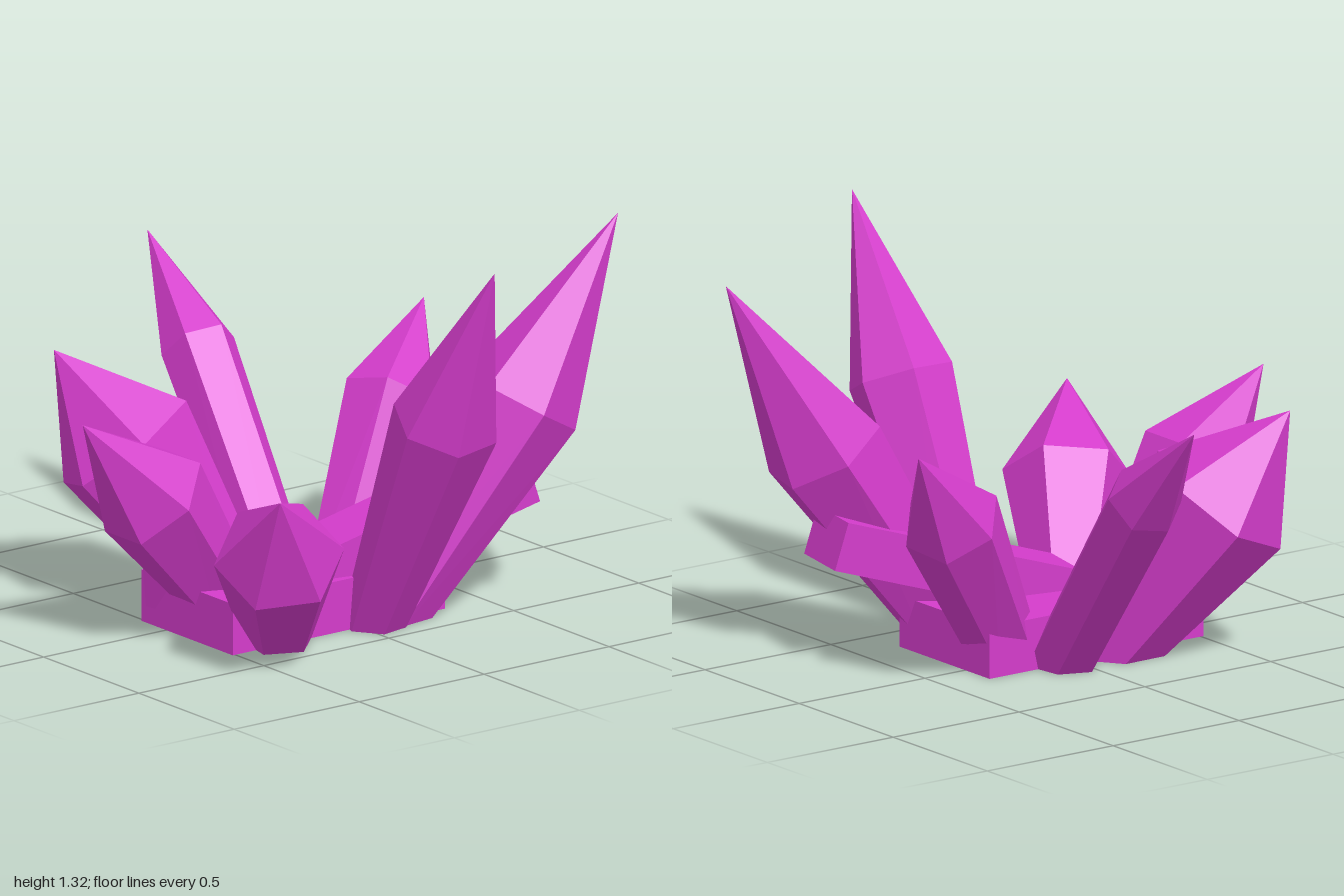
import * as THREE from 'three';

const material = new THREE.MeshStandardMaterial({ color: 0xd43ccb, flatShading: true });
const SIDES = 6;

// Six points around a centre, perpendicular to the axis
function ring(center, axis, radius, phase) {
  const u = new THREE.Vector3(1, 0, 0).addScaledVector(axis, -axis.x).normalize();
  const v = u.clone().cross(axis);
  return Array.from({ length: SIDES }, (_, i) => {
    const a = THREE.MathUtils.degToRad(phase) + (i / SIDES) * Math.PI * 2;
    return center.clone()
      .addScaledVector(u, radius * Math.cos(a))
      .addScaledVector(v, radius * Math.sin(a));
  });
}

// Tapered hexagonal shaft, cut flat at the ground, ending in a point
function crystal({ name, foot, shoulder, tip, r0, r1, phase }) {
  const base = new THREE.Vector3(...foot);
  const mid = new THREE.Vector3(...shoulder);
  const apex = new THREE.Vector3(...tip);
  const top = ring(mid, apex.clone().sub(mid).normalize(), r1, phase);
  const low = ring(base, mid.clone().sub(base).normalize(), r0, phase);
  // Slide each lower corner along its edge to y = 0
  const bottom = low.map((p, i) => top[i].clone().lerp(p, top[i].y / (top[i].y - p.y)));

  const points = [];
  for (let i = 0; i < SIDES; i++) {
    const j = (i + 1) % SIDES;
    points.push(
      bottom[i], top[i], bottom[j],
      top[i], top[j], bottom[j],
      top[i], apex, top[j],
      base, bottom[i], bottom[j]);
  }
  const geometry = new THREE.BufferGeometry().setFromPoints(points);
  geometry.computeVertexNormals();
  const mesh = new THREE.Mesh(geometry, material);
  mesh.name = name;
  return mesh;
}

function block(name, size, position, rotation = [0, 0, 0]) {
  const mesh = new THREE.Mesh(new THREE.BoxGeometry(...size), material);
  mesh.name = name;
  mesh.position.set(...position);
  mesh.rotation.set(...rotation, 'YZX');
  return mesh;
}

const crystals = [
  { name: 'frontCrystal', foot: [0.05, 0, 0.35], shoulder: [0.05, 0.76, 0.73], tip: [0.05, 1.32, 0.99], r0: 0.1, r1: 0.175, phase: -10 },
  { name: 'frontLeftCrystal', foot: [0.14, 0, 0.32], shoulder: [0.57, 0.67, 0.44], tip: [0.91, 1.25, 0.51], r0: 0.11, r1: 0.2, phase: -13 },
  { name: 'backCrystal', foot: [0.05, 0, -0.12], shoulder: [0.12, 0.67, -0.66], tip: [0.17, 0.97, -0.99], r0: 0.11, r1: 0.125, phase: 16 },
  { name: 'backLeftCrystal', foot: [0.15, 0, 0.02], shoulder: [0.5, 0.55, -0.14], tip: [0.72, 0.82, -0.26], r0: 0.11, r1: 0.165, phase: 10 },
  { name: 'backRightCrystal', foot: [-0.15, 0, -0.11], shoulder: [-0.4, 0.52, -0.36], tip: [-0.57, 0.82, -0.51], r0: 0.13, r1: 0.25, phase: -5 },
  { name: 'rightCrystal', foot: [-0.27, 0, 0.08], shoulder: [-0.64, 0.49, 0.1], tip: [-0.92, 0.78, 0.1], r0: 0.1, r1: 0.19, phase: 30 },
  { name: 'frontRightCrystal', foot: [-0.29, 0, 0.3], shoulder: [-0.5, 0.38, 0.58], tip: [-0.64, 0.63, 0.77], r0: 0.11, r1: 0.21, phase: 20 },
];

export function createModel() {
  const model = new THREE.Group();
  model.name = 'crystalCluster';
  // Square-cut rock under the cluster
  model.add(block('baseRock', [0.85, 0.17, 0.48], [-0.085, 0.085, 0.11]));
  // Blunt shards lying across the base
  model.add(block('longShard', [0.86, 0.16, 0.23], [0.23, 0.28, 0.265], [0, -0.2, 0.3]));
  model.add(block('shortShard', [0.28, 0.2, 0.11], [-0.38, 0.17, -0.06], [0, 0.12, 0.1]));
  for (const spec of crystals) model.add(crystal(spec));
  return model;
}
